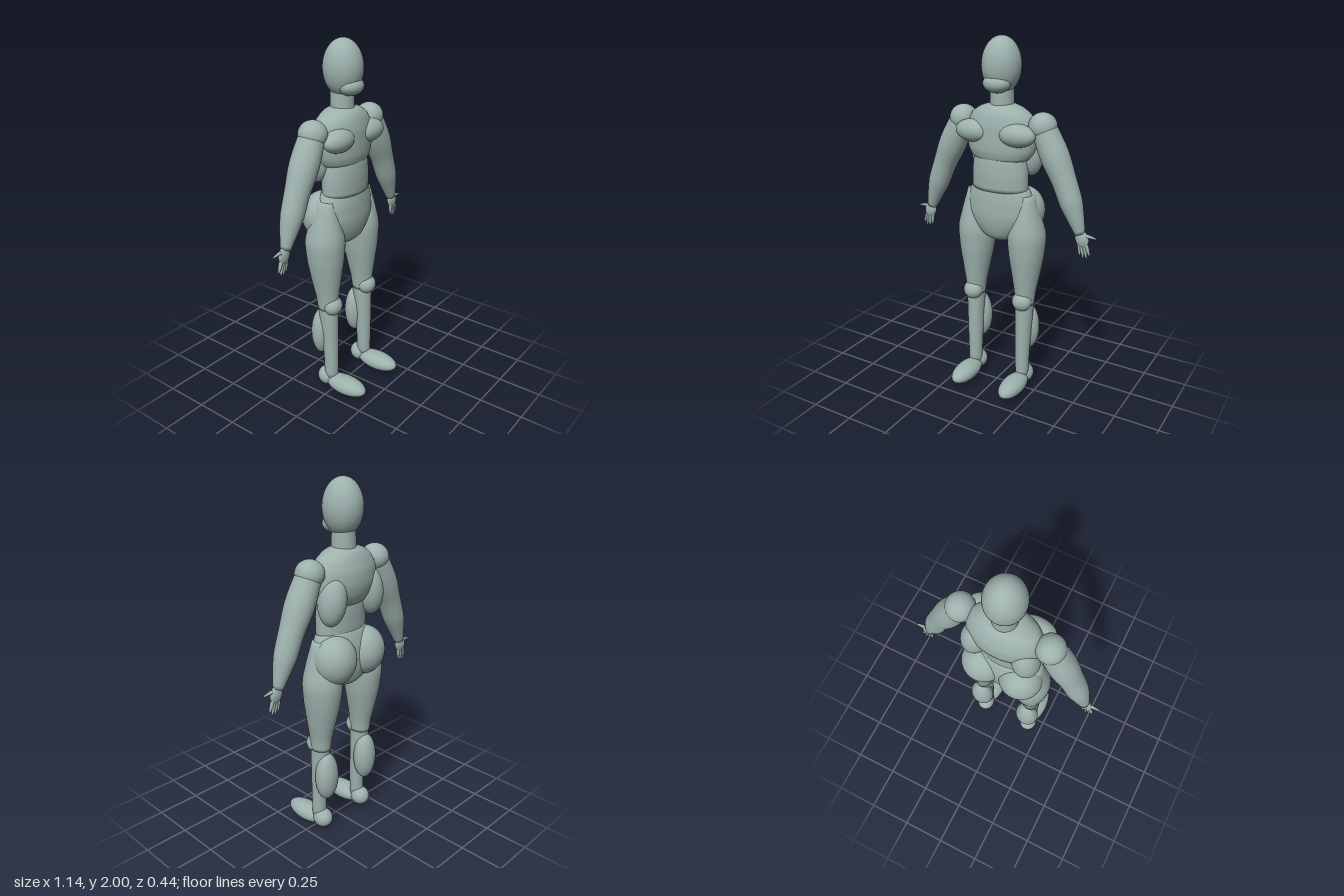
import * as THREE from 'three';

const clay = new THREE.MeshStandardMaterial({ color: 0x9db1ad });
clay.name = 'greyGreenClay';

function add(group, name, geometry) {
  const mesh = new THREE.Mesh(geometry, clay);
  mesh.name = name;
  group.add(mesh);
  return mesh;
}

// Ellipsoid from centre and radii, optionally leaning in the front plane
function ball(group, name, [x, y, z], [rx, ry, rz], tilt = 0) {
  const mesh = add(group, name, new THREE.SphereGeometry(1, 40, 28));
  mesh.position.set(x, y, z);
  mesh.scale.set(rx, ry, rz);
  mesh.rotation.z = tilt;
  return mesh;
}

// Smooth closed skin through elliptical rings [x, y, z, rWide, rDeep], listed from top to bottom
function loft(group, name, rings, s = 1, steps = 4, sides = 40) {
  const centre = new THREE.CatmullRomCurve3(rings.map(r => new THREE.Vector3(r[0] * s, r[1], r[2])));
  const radius = new THREE.CatmullRomCurve3(rings.map(r => new THREE.Vector3(r[3], r[4], 0)));
  const n = (rings.length - 1) * steps;
  const pos = [], index = [];
  for (let k = -1; k <= n + 1; k++) {
    const t = Math.min(Math.max(k / n, 0), 1);
    const c = centre.getPoint(t), r = radius.getPoint(t), d = centre.getTangent(t);
    const len = Math.hypot(d.x, d.y), open = k < 0 || k > n ? 0 : 1;
    for (let j = 0; j < sides; j++) {
      const a = j / sides * Math.PI * 2;
      const u = Math.cos(a) * r.x * open, w = Math.sin(a) * r.y * open;
      pos.push(c.x - d.y / len * u, c.y + d.x / len * u, c.z + w);
    }
  }
  for (let i = 0; i < n + 2; i++) {
    for (let j = 0; j < sides; j++) {
      const a = i * sides + j, b = i * sides + (j + 1) % sides;
      index.push(a, b, a + sides, b, b + sides, a + sides);
    }
  }
  const g = new THREE.BufferGeometry();
  g.setAttribute('position', new THREE.Float32BufferAttribute(pos, 3));
  g.setIndex(index);
  g.computeVertexNormals();
  return add(group, name, g);
}

function buildTorso(model) {
  const torso = new THREE.Group();
  torso.name = 'torso';
  model.add(torso);
  loft(torso, 'chest', [
    [0, 1.655, -0.055, 0.06, 0.055], [0, 1.635, -0.055, 0.12, 0.085], [0, 1.60, -0.055, 0.172, 0.105],
    [0, 1.54, -0.058, 0.202, 0.122], [0, 1.47, -0.058, 0.208, 0.125], [0, 1.41, -0.052, 0.196, 0.118],
    [0, 1.37, -0.045, 0.172, 0.102], [0, 1.345, -0.04, 0.13, 0.08]]);
  loft(torso, 'abdomen', [
    [0, 1.40, -0.04, 0.15, 0.09], [0, 1.34, -0.038, 0.16, 0.097],
    [0, 1.27, -0.036, 0.166, 0.098], [0, 1.19, -0.036, 0.166, 0.095]]);
  loft(torso, 'pelvis', [
    [0, 1.215, -0.04, 0.155, 0.09], [0, 1.19, -0.042, 0.175, 0.1], [0, 1.13, -0.048, 0.202, 0.112],
    [0, 1.06, -0.05, 0.208, 0.116], [0, 0.99, -0.052, 0.178, 0.11], [0, 0.93, -0.054, 0.122, 0.092],
    [0, 0.90, -0.055, 0.07, 0.06], [0, 0.89, -0.055, 0.02, 0.02]]);
  for (const s of [1, -1]) {
    ball(torso, 'breast', [0.13 * s, 1.507, 0.022], [0.107, 0.062, 0.063]);
    ball(torso, 'backMuscle', [0.14 * s, 1.40, -0.11], [0.074, 0.135, 0.078], 0.12 * s);
    ball(torso, 'buttock', [0.112 * s, 1.065, -0.1], [0.122, 0.138, 0.117]);
  }
}

function buildHead(model) {
  const head = new THREE.Group();
  head.name = 'headAndNeck';
  model.add(head);
  ball(head, 'skull', [0, 1.85, -0.048], [0.105, 0.15, 0.108]);
  ball(head, 'jaw', [0, 1.762, 0.003], [0.076, 0.05, 0.062]);
  const neck = add(head, 'neck', new THREE.CylinderGeometry(0.062, 0.066, 0.15, 40));
  neck.position.set(0, 1.69, -0.055);
}

function buildArm(model, s) {
  const arm = new THREE.Group();
  arm.name = s > 0 ? 'leftArm' : 'rightArm';
  model.add(arm);
  const z = -0.055;
  ball(arm, 'shoulder', [0.242 * s, 1.552, z], [0.076, 0.074, 0.078]);
  loft(arm, 'upperArmAndForearm', [
    [0.245, 1.55, z, 0.066, 0.07], [0.312, 1.41, z, 0.077, 0.079], [0.372, 1.28, z, 0.066, 0.067],
    [0.415, 1.17, z, 0.062, 0.062], [0.448, 1.08, z, 0.045, 0.045], [0.473, 1.005, z, 0.028, 0.028]], s);
  // Flat palm, four fingers and an outstretched thumb
  ball(arm, 'palm', [0.486 * s, 0.978, z], [0.038, 0.048, 0.02], 0.25 * s);
  for (const [x0, x1, y1] of [[0.507, 0.532, 0.892], [0.497, 0.515, 0.876], [0.484, 0.496, 0.874], [0.471, 0.476, 0.886]]) {
    loft(arm, 'finger', [[x0, 0.96, z, 0.011, 0.012], [(x0 + x1) / 2, (0.96 + y1) / 2, z, 0.01, 0.01],
      [x1, y1, z, 0.005, 0.005]], s, 3, 12);
  }
  loft(arm, 'thumb', [[0.49, 1.0, z, 0.012, 0.012], [0.53, 0.998, z, 0.009, 0.009],
    [0.567, 0.992, z, 0.004, 0.004]], s, 3, 12);
}

function buildLeg(model, s) {
  const leg = new THREE.Group();
  leg.name = s > 0 ? 'leftLeg' : 'rightLeg';
  model.add(leg);
  loft(leg, 'thigh', [
    [0.165, 1.17, -0.045, 0.038, 0.05], [0.161, 1.05, -0.05, 0.078, 0.088], [0.159, 0.93, -0.054, 0.107, 0.112],
    [0.16, 0.82, -0.052, 0.098, 0.104], [0.161, 0.70, -0.047, 0.077, 0.084],
    [0.161, 0.60, -0.041, 0.06, 0.066], [0.161, 0.53, -0.038, 0.053, 0.06]], s);
  ball(leg, 'kneecap', [0.161 * s, 0.553, -0.002], [0.057, 0.055, 0.051]);
  loft(leg, 'shin', [
    [0.161, 0.56, -0.038, 0.053, 0.06], [0.16, 0.4, -0.03, 0.048, 0.052],
    [0.159, 0.22, -0.021, 0.042, 0.043], [0.159, 0.07, -0.02, 0.038, 0.04]], s);
  ball(leg, 'calf', [0.158 * s, 0.363, -0.083], [0.071, 0.145, 0.06]);
  ball(leg, 'heel', [0.159 * s, 0.068, -0.05], [0.054, 0.056, 0.058]);
  ball(leg, 'foot', [0.158 * s, 0.053, 0.085], [0.065, 0.053, 0.135]);
}

export function createModel() {
  const model = new THREE.Group();
  model.name = 'humanFigure';
  buildTorso(model);
  buildHead(model);
  for (const s of [1, -1]) {
    buildArm(model, s);
    buildLeg(model, s);
  }
  return model;
}
